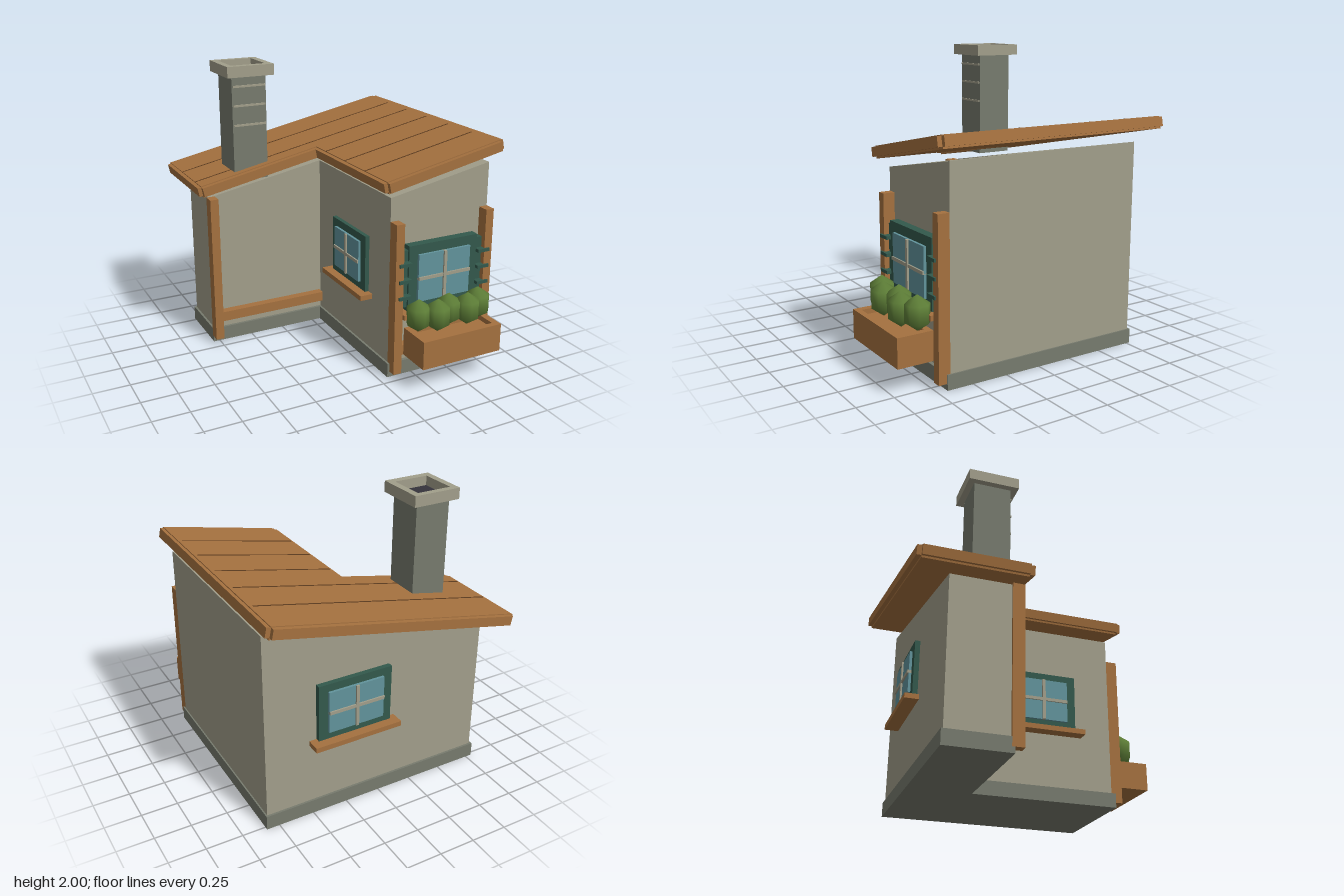
import * as THREE from 'three';

const mat = (name, color) => {
  const m = new THREE.MeshStandardMaterial({ color });
  m.name = name;
  return m;
};

export function createModel() {
  const plaster = mat('plaster', 0xa29f8b);
  const stone = mat('stone', 0x777b6e);
  const wood = mat('wood', 0xa5713f);
  const darkWood = mat('dark wood', 0x5e3d20);
  const green = mat('green paint', 0x33594c);
  const glass = mat('glass', 0x62949c);
  const leaf = mat('leaf', 0x5f8038);
  const soot = mat('soot', 0x35333b);

  const house = new THREE.Group();
  house.name = 'house';

  const add = (parent, name, geometry, material) => {
    const m = new THREE.Mesh(geometry, material);
    m.name = name;
    parent.add(m);
    return m;
  };
  // box given by its minimum and maximum on each axis
  const box = (parent, name, material, x0, x1, y0, y1, z0, z1) => {
    const m = add(parent, name, new THREE.BoxGeometry(x1 - x0, y1 - y0, z1 - z0), material);
    m.position.set((x0 + x1) / 2, (y0 + y1) / 2, (z0 + z1) / 2);
    return m;
  };
  // L-shaped slab: full-width back wing plus a front wing on the left
  const ell = (x0, xi, x1, z0, zi, z1, height) => {
    const pts = [[x0, z0], [x0, zi], [xi, zi], [xi, z1], [x1, z1], [x1, z0]];
    const shape = new THREE.Shape(pts.map(([x, z]) => new THREE.Vector2(x, -z)));
    const g = new THREE.ExtrudeGeometry(shape, { depth: height, bevelEnabled: false });
    return g.rotateX(-Math.PI / 2);
  };

  // footing and walls with a sloping top
  add(house, 'footing', ell(-0.795, 0.065, 0.84, -0.775, -0.34, 0.685, 0.1), stone);
  const walls = ell(-0.78, 0.08, 0.83, -0.76, -0.36, 0.66, 1);
  const p = walls.attributes.position;
  for (let i = 0; i < p.count; i++) {
    p.setY(i, p.getY(i) > 0.5 ? 1.4 + 0.192 * (p.getX(i) - 0.83) : 0.09);
  }
  walls.computeVertexNormals();
  add(house, 'walls', walls, plaster);

  // pitched roof, built flat and tilted
  const roof = new THREE.Group();
  roof.name = 'roof';
  const pitch = Math.atan(0.205);
  const s = 1 / Math.cos(pitch);
  roof.position.y = 1.386;
  roof.rotation.z = pitch;
  house.add(roof);
  const slab = add(roof, 'roofSlab',
    ell(-0.86 * s, 0.01 * s, 0.855 * s, -0.95, -0.27, 0.725, 0.083), wood);
  slab.position.y = -0.083;
  const fascias = [
    [-0.86, 0.85, -0.98, -0.95],
    [-0.86, -0.015, -0.27, -0.235],
    [0.01, 0.85, 0.725, 0.755],
    [-0.885, -0.86, -0.95, -0.27],
    [-0.015, 0.01, -0.27, 0.725],
    [0.855, 0.88, -0.95, 0.725],
  ];
  for (const [x0, x1, z0, z1] of fascias) {
    box(roof, 'fascia', wood, x0 * s, x1 * s, -0.07, -0.006, z0, z1);
  }
  for (const z of [-0.67, -0.39, -0.115, 0.165, 0.445]) {
    box(roof, 'plankSeam', darkWood, (z < -0.3 ? -0.86 : 0.01) * s, 0.83 * s,
      -0.002, 0.002, z - 0.005, z + 0.005);
  }

  // chimney with mortar lines and a hollow cap
  const chimney = new THREE.Group();
  chimney.name = 'chimney';
  house.add(chimney);
  box(chimney, 'chimneyShaft', stone, -0.597, -0.35, 1.2, 1.93, -0.57, -0.315);
  for (const y of [1.59, 1.725, 1.857]) {
    box(chimney, 'mortarLine', plaster, -0.59, -0.356, y - 0.007, y + 0.007, -0.316, -0.307);
  }
  const rect = (T, x0, x1, y0, y1) =>
    new T([[x0, y0], [x1, y0], [x1, y1], [x0, y1]].map((a) => new THREE.Vector2(...a)));
  const capShape = rect(THREE.Shape, -0.64, -0.305, 0.27, 0.615);
  capShape.holes.push(rect(THREE.Path, -0.595, -0.352, 0.32, 0.572));
  const cap = add(chimney, 'chimneyCap',
    new THREE.ExtrudeGeometry(capShape, { depth: 0.075, bevelEnabled: false }), plaster);
  cap.rotation.x = -Math.PI / 2;
  cap.position.y = 1.925;
  box(chimney, 'flue', soot, -0.595, -0.352, 1.929, 1.936, -0.572, -0.32);

  // window on a wall plane, facing its own +z, origin at the pane centre
  const windowUnit = (name, w, h, depth, sillDepth) => {
    const g = new THREE.Group();
    g.name = name;
    house.add(g);
    const gw = w / 2 - 0.065, gh = h / 2 - (h > 0.42 ? 0.065 : 0.053);
    box(g, 'windowFrame', green, -w / 2, w / 2, -h / 2, h / 2, -0.01, depth);
    box(g, 'pane', glass, -gw, gw, -gh, gh, depth - 0.01, depth + 0.018);
    box(g, 'mullion', plaster, -0.011, 0.011, -gh, gh, depth, depth + 0.03);
    box(g, 'transom', plaster, -gw, gw, -0.011, 0.011, depth, depth + 0.028);
    box(g, 'sill', wood, -w / 2 - 0.05, w / 2 + 0.05, -h / 2 - 0.037, -h / 2 - 0.002, -0.01, sillDepth);
    return g;
  };
  windowUnit('frontWindow', 0.53, 0.46, 0.06, 0.1).position.set(0.455, 0.7, 0.66);
  const back = windowUnit('backWindow', 0.53, 0.4, 0.035, 0.095);
  back.position.set(0.205, 0.77, -0.76);
  back.rotation.y = Math.PI;
  const side = windowUnit('sideWindow', 0.48, 0.4, 0.03, 0.09);
  side.position.set(0.08, 0.712, 0.15);
  side.rotation.y = -Math.PI / 2;

  // shutters with slats beside the front window
  for (const k of [-1, 1]) {
    const shutter = new THREE.Group();
    shutter.name = 'shutter';
    shutter.position.set(0.455 + k * 0.305, 0.7, 0.66);
    house.add(shutter);
    box(shutter, 'shutterPanel', green, -0.05, 0.05, -0.2, 0.2, -0.01, 0.045);
    for (const y of [-0.115, 0, 0.115]) {
      box(shutter, 'slat', green, -0.045, 0.045, y - 0.011, y + 0.011, 0.03, 0.092);
    }
  }

  // porch posts and rails
  for (const [x, z] of [[-0.795, -0.36], [0.08, 0.66], [0.77, 0.66]]) {
    box(house, 'post', wood, x, x + 0.06, 0.04, 1.097, z, z + 0.08);
  }
  box(house, 'backRail', wood, -0.735, 0.065, 0.17, 0.24, -0.35, -0.29);
  box(house, 'frontRail', wood, 0.14, 0.77, 0.17, 0.24, 0.67, 0.73);

  // planter trough and bushes
  const planter = new THREE.Group();
  planter.name = 'planter';
  house.add(planter);
  box(planter, 'planterFloor', wood, 0.155, 0.76, 0.175, 0.335, 0.735, 0.98);
  box(planter, 'planterFront', wood, 0.155, 0.76, 0.335, 0.37, 0.94, 0.98);
  box(planter, 'planterBack', wood, 0.155, 0.76, 0.335, 0.37, 0.735, 0.775);
  for (const x of [0.155, 0.715]) {
    box(planter, 'planterEnd', wood, x, x + 0.045, 0.335, 0.37, 0.775, 0.94);
  }
  const bushGeometry = new THREE.SphereGeometry(0.093, 8, 3).scale(1, 1.24, 1);
  for (let i = 0; i < 5; i++) {
    const bush = add(planter, 'bush', bushGeometry, leaf);
    bush.position.set(0.222 + i * 0.1165, 0.473, i % 2 ? 0.853 : 0.803);
    bush.rotation.y = i * 0.7;
  }
  return house;
}
